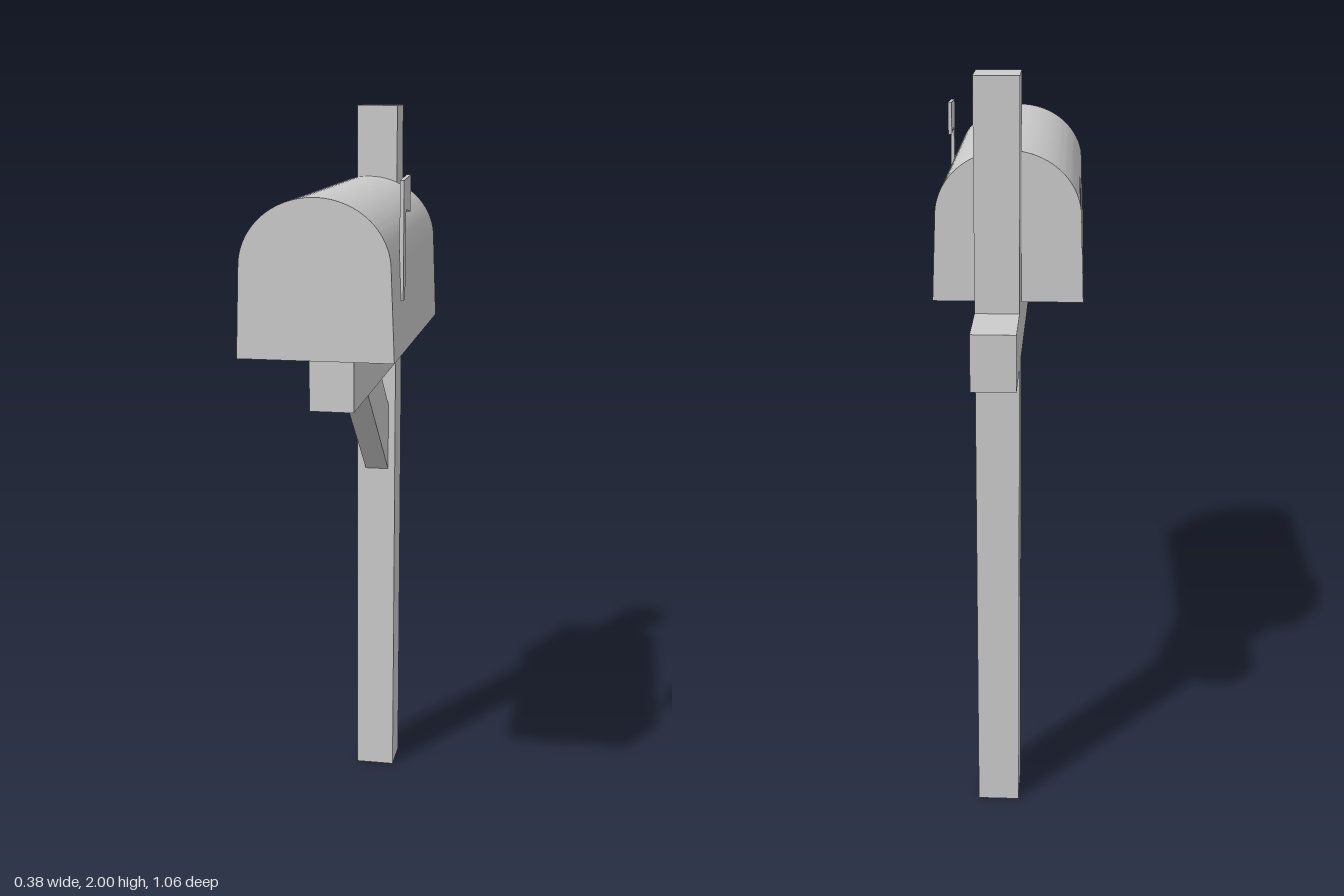
import * as THREE from 'three';
import { toCreasedNormals } from 'three/addons/utils/BufferGeometryUtils.js';

export function createModel() {
  const group = new THREE.Group();
  const material = new THREE.MeshStandardMaterial({ color: 0xcccccc });

  const add = (name, geometry) => {
    const mesh = new THREE.Mesh(geometry, material);
    mesh.name = name;
    group.add(mesh);
  };

  // Box given by its limits on each axis
  const block = (name, [x0, x1], [y0, y1], [z0, z1]) =>
    add(name, new THREE.BoxGeometry(x1 - x0, y1 - y0, z1 - z0)
      .translate((x0 + x1) / 2, (y0 + y1) / 2, (z0 + z1) / 2));

  // Side outline in (z, y), extruded across x
  const sidePlate = (name, [x0, x1], outline) => {
    const shape = new THREE.Shape(outline.map(([z, y]) => new THREE.Vector2(z, y)));
    add(name, new THREE.ExtrudeGeometry(shape, { depth: x1 - x0, bevelEnabled: false })
      .rotateY(-Math.PI / 2).translate(x1, 0, 0));
  };

  // Timber post, cross beam and diagonal brace
  block('post', [-0.037, 0.075], [0, 2], [-0.352, -0.24]);
  block('beam', [-0.037, 0.075], [1.275, 1.42], [-0.53, 0.435]);
  sidePlate('brace', [-0.012, 0.055],
    [[0.14, 1.275], [-0.09, 1.275], [-0.24, 1.15], [-0.24, 0.955]]);

  // Arched letter box with slightly flared walls
  const arch = new THREE.Shape();
  arch.moveTo(-0.195, 1.42);
  arch.lineTo(0.19, 1.42);
  arch.lineTo(0.181, 1.64);
  arch.absellipse(-0.003, 1.64, 0.184, 0.166, 0, Math.PI, false);
  arch.closePath();
  const body = new THREE.ExtrudeGeometry(arch, { depth: 0.772, bevelEnabled: false, curveSegments: 32 })
    .translate(0, 0, -0.24);
  add('letterBox', toCreasedNormals(body, 0.6));

  // Raised signal flag on the left wall
  sidePlate('flag', [0.18, 0.19], [
    [0.398, 1.55], [0.398, 1.838], [0.286, 1.845], [0.286, 1.755],
    [0.35, 1.766], [0.365, 1.755], [0.365, 1.55],
  ]);

  return group;
}
